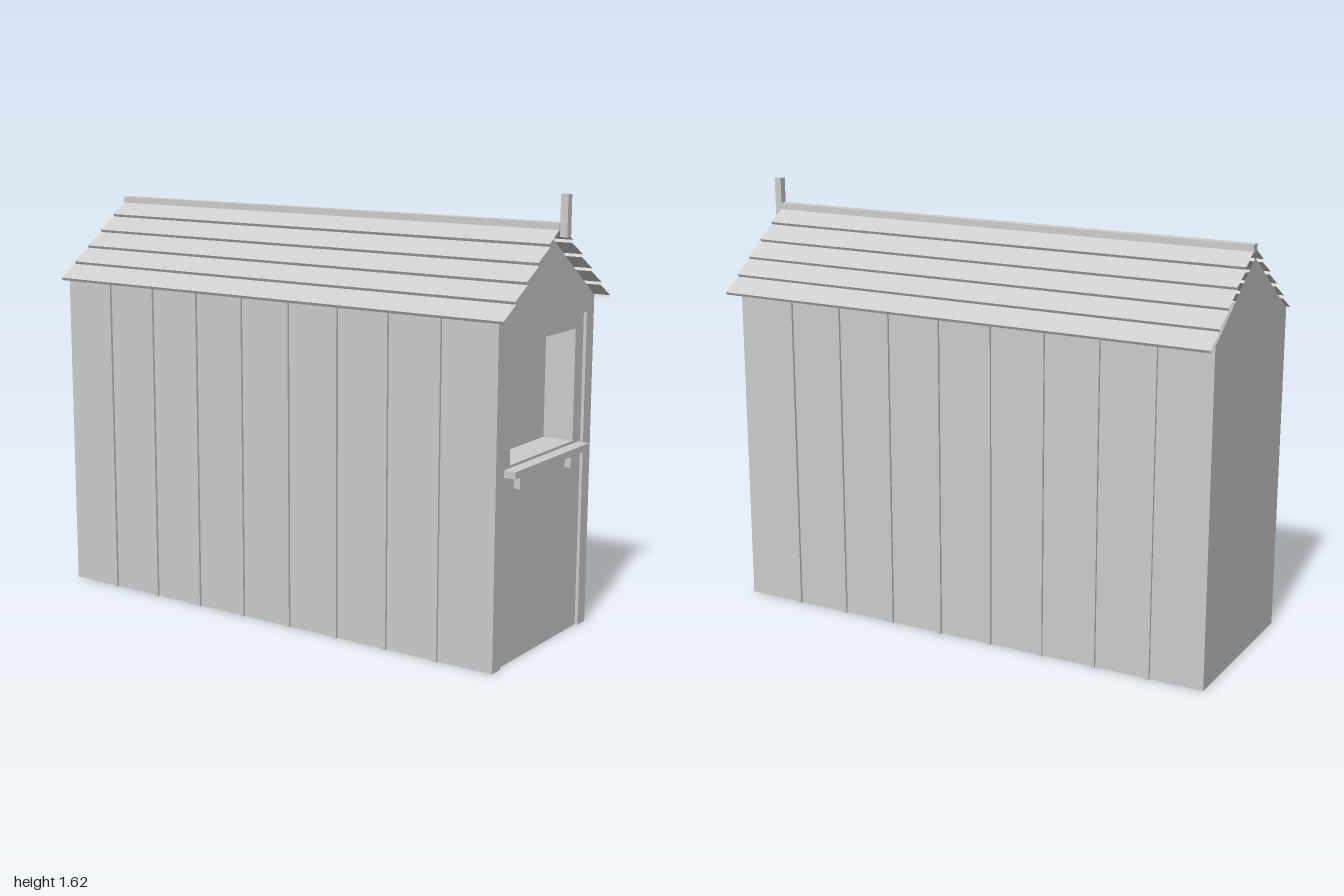
import * as THREE from 'three';

export function createModel() {
  const root = new THREE.Group();
  root.name = 'shed';
  const grey = new THREE.MeshStandardMaterial({ color: 0xcccccc, side: THREE.DoubleSide, flatShading: true });
  grey.name = 'light grey';

  const add = (name, geometry, x = 0, y = 0, z = 0) => {
    const mesh = new THREE.Mesh(geometry, grey);
    mesh.name = name;
    mesh.position.set(x, y, z);
    root.add(mesh);
    return mesh;
  };
  // Box given by its minimum and maximum corners
  const box = (name, a, b) => add(name,
    new THREE.BoxGeometry(b[0] - a[0], b[1] - a[1], b[2] - a[2]),
    (a[0] + b[0]) / 2, (a[1] + b[1]) / 2, (a[2] + b[2]) / 2);
  const polygon = (pts) => new THREE.Shape(pts.map(([x, y]) => new THREE.Vector2(x, y)));

  const W = 0.345, EAVE = 1.23, PEAK = 1.47, FRONT = 0.93, BACK = -1;

  // Back wall with its gable
  add('backWall', new THREE.ShapeGeometry(
    polygon([[-W, 0], [W, 0], [W, EAVE], [0, PEAK], [-W, EAVE]])).rotateY(Math.PI), 0, 0, BACK);

  // Front gable and door frame
  add('frontGable', new THREE.ShapeGeometry(polygon([[-W, EAVE], [W, EAVE], [0, PEAK]])), 0, 0, FRONT);
  const frame = polygon([[-W, 0], [-0.29, 0], [-0.29, 1.175], [0.29, 1.175],
    [0.29, 0], [W, 0], [W, EAVE], [-W, EAVE]]);
  add('doorFrame', new THREE.ExtrudeGeometry(frame, { depth: 0.012, bevelEnabled: false }), 0, 0, FRONT - 0.012);

  // Door panel with a window opening
  const door = polygon([[-0.29, 0], [0.29, 0], [0.29, 1.175], [-0.29, 1.175]]);
  door.holes.push(polygon([[-0.23, 0.71], [-0.23, 1.12], [0.23, 1.12], [0.23, 0.71]]));
  add('door', new THREE.ShapeGeometry(door), 0, 0, FRONT - 0.012);

  // Window recess: back panel, jambs, head and sill
  const zr = 0.8, zd = FRONT - 0.012, depth = zd - zr, zm = (zd + zr) / 2;
  add('windowBack', new THREE.PlaneGeometry(0.46, 0.41), 0, 0.915, zr);
  for (const s of [-1, 1]) {
    add('windowJamb', new THREE.PlaneGeometry(depth, 0.41).rotateY(-s * Math.PI / 2), s * 0.23, 0.915, zm);
  }
  add('windowHead', new THREE.PlaneGeometry(0.46, depth).rotateX(Math.PI / 2), 0, 1.12, zm);
  add('windowSill', new THREE.PlaneGeometry(0.46, depth).rotateX(-Math.PI / 2), 0, 0.71, zm);

  // Counter shelf on two brackets
  box('shelf', [-0.272, 0.675, zd], [0.272, 0.7, 0.963]);
  for (const x of [-0.187, 0.187]) box('shelfBracket', [x - 0.013, 0.623, zd], [x + 0.013, 0.675, 0.942]);

  // Side walls with vertical battens
  for (const s of [-1, 1]) {
    add('sideWall', new THREE.PlaneGeometry(FRONT - BACK, EAVE).rotateY(s * Math.PI / 2),
      s * W, EAVE / 2, (FRONT + BACK) / 2);
    for (let i = 0; i < 8; i++) {
      add('batten', new THREE.BoxGeometry(0.01, EAVE, 0.018), s * (W + 0.005), EAVE / 2, 0.703 - i * 0.213);
    }
  }

  // Overlapping roof boards: a stepped, open-ended profile swept along z
  const roofFront = 0.972;
  const profile = [[0, 1.505]];
  for (let i = 0; i < 5; i++) {
    const x = 0.085 + i * 0.0762, y = 1.452 - i * 0.0565;
    profile.push([x, y], [x - 0.006, y - 0.01]);
  }
  for (const s of [-1, 1]) {
    const pos = [];
    for (let i = 0; i + 1 < profile.length; i++) {
      const [ax, ay] = profile[i], [bx, by] = profile[i + 1];
      const a = [s * ax, ay, BACK], b = [s * bx, by, BACK];
      const c = [s * bx, by, roofFront], d = [s * ax, ay, roofFront];
      const quad = s > 0 ? [a, c, b, a, d, c] : [a, b, c, a, c, d];
      pos.push(...quad.flat());
    }
    const g = new THREE.BufferGeometry();
    g.setAttribute('position', new THREE.Float32BufferAttribute(pos, 3));
    g.computeVertexNormals();
    add('roofBoards', g);
  }

  // Ridge cap and front finial post
  box('ridgeCap', [-0.018, 1.49, BACK], [0.018, 1.518, roofFront]);
  box('finialPost', [-0.014, 1.47, roofFront], [0.014, 1.615, 1]);

  return root;
}
